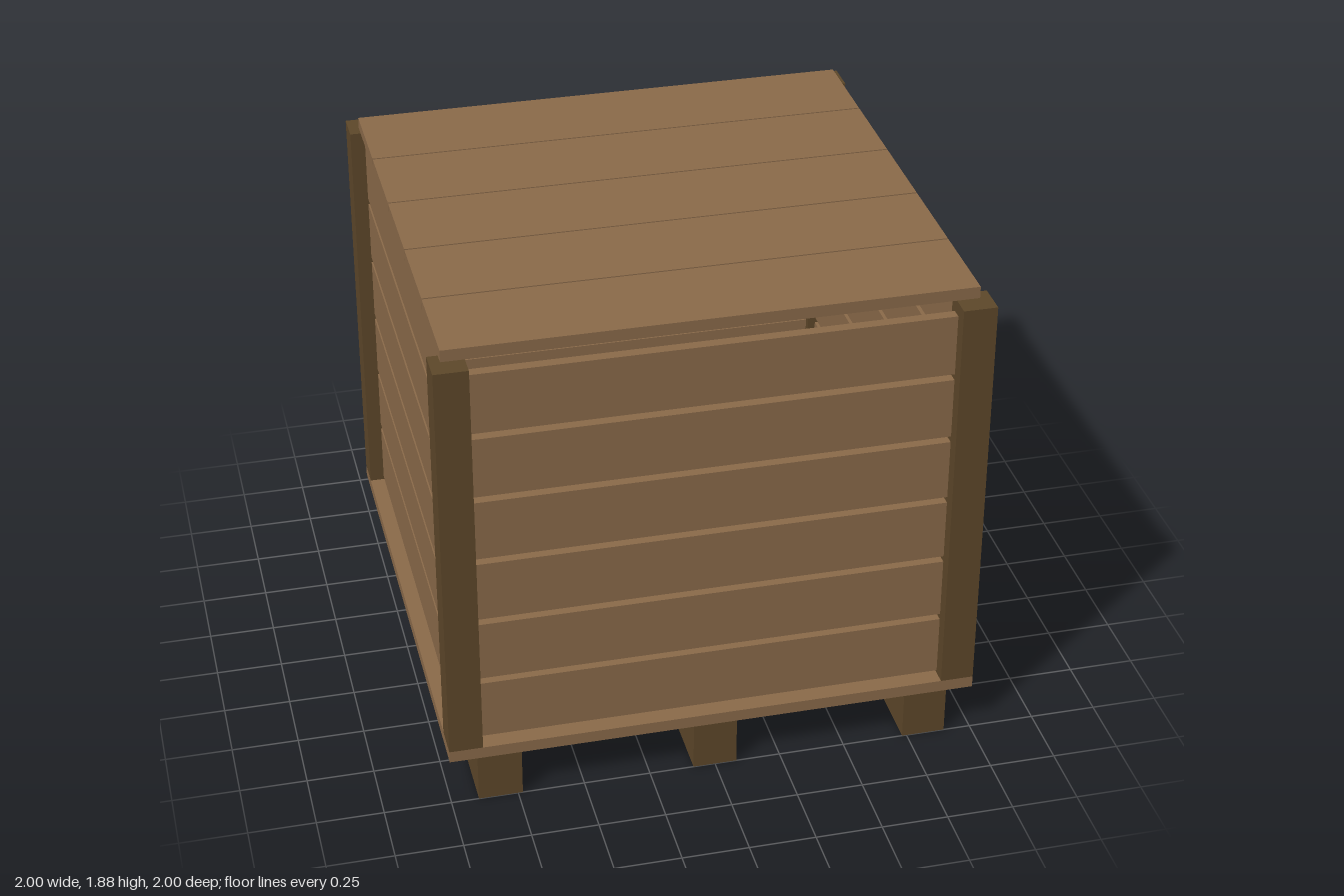
import * as THREE from 'three';

export function createModel() {
  const crate = new THREE.Group();
  crate.name = 'woodenCrate';
  const plankWood = new THREE.MeshStandardMaterial({ color: 0x8b6b4a });
  plankWood.name = 'plankWood';
  const frameWood = new THREE.MeshStandardMaterial({ color: 0x5e482a });
  frameWood.name = 'frameWood';

  function board(name, parent, material, size, position) {
    const mesh = new THREE.Mesh(new THREE.BoxGeometry(...size), material);
    mesh.name = name;
    mesh.position.set(...position);
    parent.add(mesh);
  }

  // Three runners under a solid base
  for (const x of [-0.815, 0, 0.815]) {
    board('runner', crate, frameWood, [0.165, 0.187, 2], [x, 0.0935, 0]);
  }
  board('base', crate, plankWood, [2, 0.046, 2], [0, 0.21, 0]);

  // Corner posts
  for (const x of [-1, 1]) {
    for (const z of [-1, 1]) {
      board('cornerPost', crate, frameWood, [0.125, 1.597, 0.125], [x * 0.9375, 1.0315, z * 0.9375]);
    }
  }

  // Four slatted walls, recessed between the posts
  ['frontWall', 'leftWall', 'backWall', 'rightWall'].forEach((name, side) => {
    const wall = new THREE.Group();
    wall.name = name;
    wall.rotation.y = side * Math.PI / 2;
    for (let i = 0; i < 6; i++) {
      board('slat', wall, plankWood, [1.75, 0.236, 0.04], [0, 0.362 + i * 0.26, 0.925]);
    }
    crate.add(wall);
  });

  // Lid of five planks with narrow gaps
  const lid = new THREE.Group();
  lid.name = 'lid';
  for (let i = -2; i <= 2; i++) {
    board('lidPlank', lid, plankWood, [1.92, 0.045, 0.363], [0, 1.8525, i * 0.37]);
  }
  crate.add(lid);

  return crate;
}
